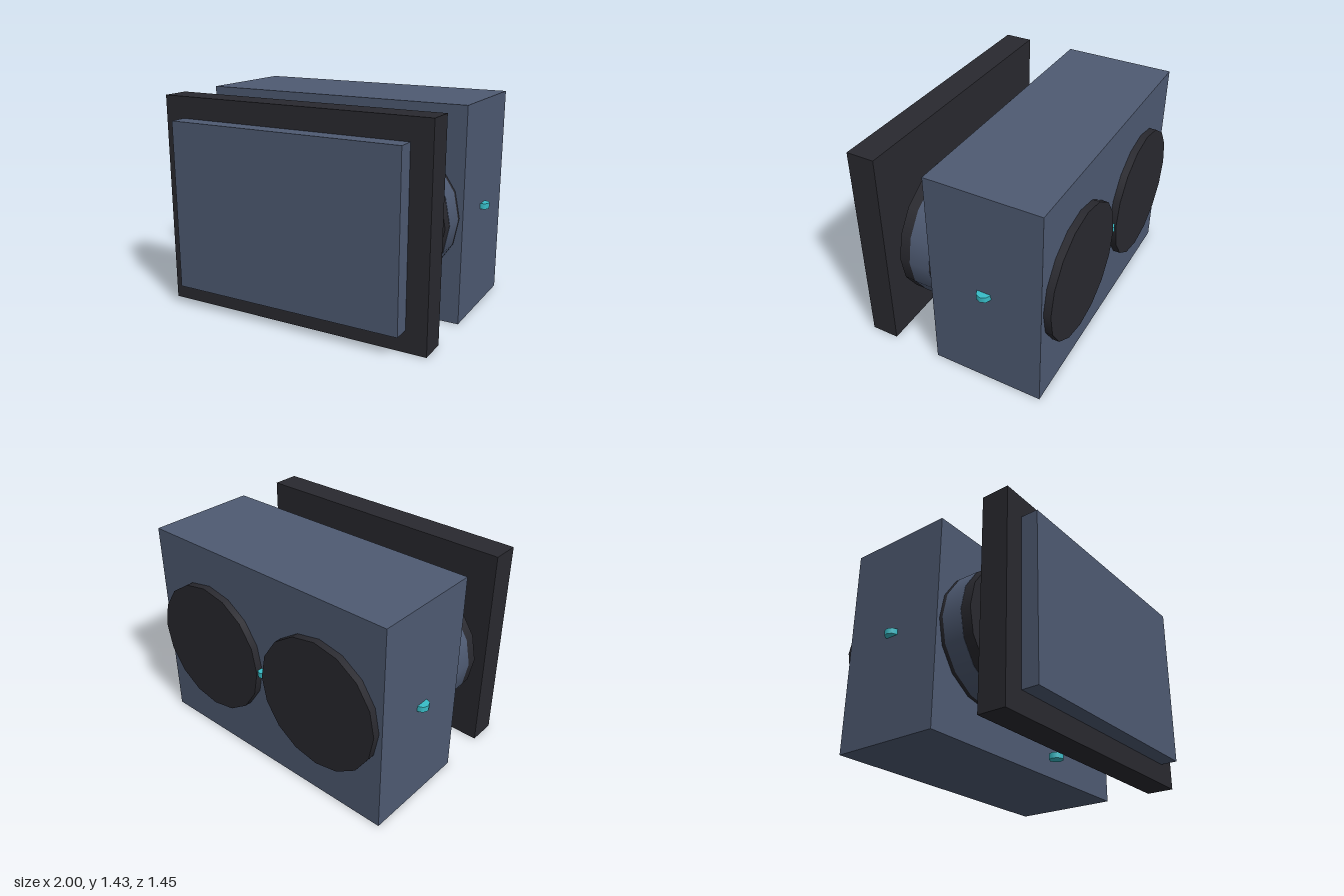
import * as THREE from 'three';

const slate = new THREE.MeshStandardMaterial({ color: 0x4e5a72 });
slate.name = 'slate';
const charcoal = new THREE.MeshStandardMaterial({ color: 0x29292f });
charcoal.name = 'charcoal';
const teal = new THREE.MeshStandardMaterial({ color: 0x38bdc8 });
teal.name = 'teal';

const MID = 0.715; // half the body height

export function createModel() {
  const model = new THREE.Group();
  model.name = 'deviceBox';

  const add = (name, geometry, material, x, y, z) => {
    const mesh = new THREE.Mesh(geometry, material);
    mesh.name = name;
    mesh.position.set(x, y, z);
    model.add(mesh);
  };
  // Box spanning z0..z1, centred on x
  const box = (name, material, w, h, z0, z1) =>
    add(name, new THREE.BoxGeometry(w, h, z1 - z0), material, 0, MID, (z0 + z1) / 2);
  // Drum lying along z, spanning z0..z1
  const drum = (name, material, r, x, z0, z1) =>
    add(name, new THREE.CylinderGeometry(r, r, z1 - z0, 16).rotateX(Math.PI / 2),
      material, x, MID, (z0 + z1) / 2);

  // Main housing, detached front panel and raised screen
  box('housing', slate, 1.9, 1.43, -0.677, 0.083);
  box('frontPanel', charcoal, 1.9, 1.43, 0.42, 0.61);
  box('screen', slate, 1.62, 1.14, 0.61, 0.725);

  // Paired drums through the housing, each with a band at the front
  for (const [side, x] of [['left', 0.475], ['right', -0.475]]) {
    drum(side + 'Drum', charcoal, 0.452, x, -0.725, 0.325);
    drum(side + 'DrumBand', slate, 0.454, x, 0.11, 0.253);
  }

  // Small octagonal studs on the sides, back and underside
  const stud = new THREE.CylinderGeometry(0.0475, 0.0475, 0.038, 8);
  add('leftStud', stud, teal, 0.95, MID, -0.295);
  add('rightStud', stud, teal, -0.95, MID, -0.295);
  add('backStud', stud, teal, 0, MID, -0.677);
  add('lowerStud', stud, teal, 0, 0.05, 0.277);

  return model;
}
